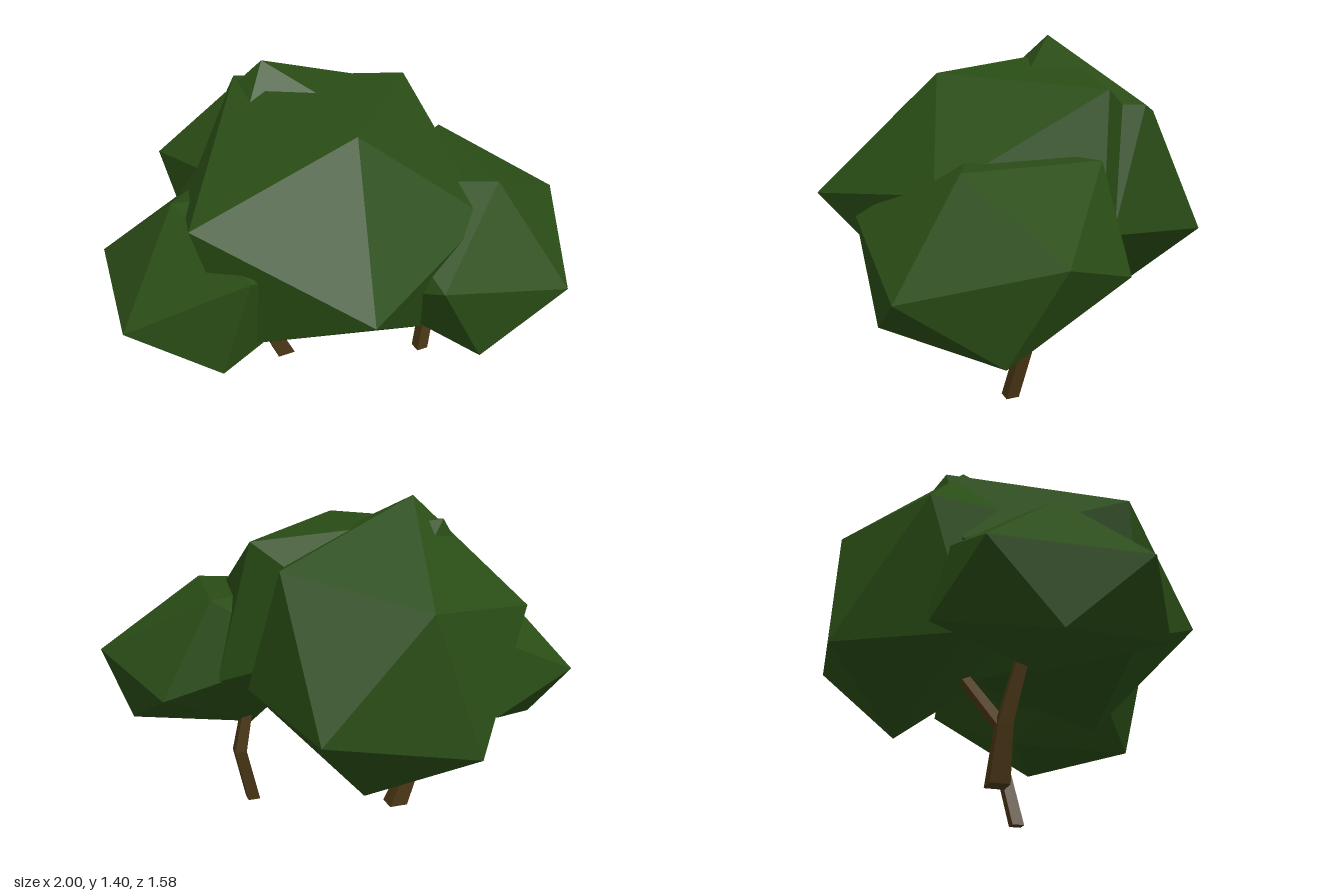
import * as THREE from 'three';
import { ConvexGeometry } from 'three/addons/geometries/ConvexGeometry.js';

const leaf = new THREE.MeshStandardMaterial({ color: 0x294c15, flatShading: true });
const bark = new THREE.MeshStandardMaterial({ color: 0x4a3615, flatShading: true });

// Faceted leaf clump: the hull of twelve corners of a squashed icosahedron
function clump(name, corners) {
  const mesh = new THREE.Mesh(new ConvexGeometry(corners.map((p) => new THREE.Vector3(...p))), leaf);
  mesh.name = name;
  return mesh;
}

// Adds the opposite corners through the centre
const mirrored = (c, half) => [...half, ...half.map((p) => p.map((v, i) => 2 * c[i] - v))];

// Square angular limb: horizontal rings [x, y, z, half width] listed from the top down
function limb(name, rings) {
  const rows = rings.length - 1;
  const geo = new THREE.CylinderGeometry(Math.SQRT2, Math.SQRT2, rows, 4, rows, false, Math.PI / 4);
  const pos = geo.attributes.position;
  for (let i = 0; i < pos.count; i++) {
    const [x, y, z, r] = rings[Math.round(rows / 2 - pos.getY(i))];
    pos.setXYZ(i, x + pos.getX(i) * r, y, z + pos.getZ(i) * r);
  }
  geo.computeVertexNormals();
  const mesh = new THREE.Mesh(geo, bark);
  mesh.name = name;
  return mesh;
}

export function createModel() {
  const tree = new THREE.Group();
  tree.name = 'tree';

  // Foliage
  tree.add(
    clump('frontFoliage', [
      [-0.22, 0.78, 0.785], [-0.05, 1.28, 0.3], [-0.72, 1.03, 0.27], [0.45, 1.25, -0.23],
      [-0.29, 1.32, -0.365], [0.44, 0.9, 0.48], [0.08, 0.95, -0.66], [-0.1, 0.46, -0.2],
      [0.58, 0.68, -0.15], [-0.59, 0.51, 0.34], [0.2, 0.42, 0.47], [-0.57, 0.84, -0.35],
    ]),
    clump('backFoliage', mirrored([-0.065, 0.825, -0.37], [
      [-0.2, 1.405, -0.27], [0.39, 1.17, -0.43], [0.48, 0.67, -0.25],
      [-0.08, 1.05, -0.76], [0.34, 0.6, -0.755], [-0.28, 0.48, -0.79],
    ])),
    clump('leftFoliage', mirrored([0.46, 0.69, 0.275], [
      [0.54, 1.0, 0.41], [0.59, 1.01, -0.13], [1.0, 0.76, 0.2],
      [0.71, 0.61, 0.72], [0.87, 0.38, 0.37], [0.12, 0.76, 0.7],
    ])),
    clump('rightFoliage', [
      [-1, 0.62, 0.22], [-0.68, 0.46, 0.42], [-0.9, 0.35, -0.08], [-0.93, 0.64, -0.36],
      [-0.7, 0.99, -0.02], [-0.56, 0.87, 0.46], [-0.06, 0.72, -0.22], [-0.13, 0.7, 0.36],
      [-0.16, 0.99, 0.08], [-0.39, 0.41, 0], [-0.38, 0.88, -0.42], [-0.52, 0.5, -0.46],
    ]),
  );

  // Trunks and forked branches
  tree.add(
    limb('forkedTrunk', [[-0.42, 0.5, -0.06, 0.022], [-0.305, 0.21, -0.113, 0.03], [-0.217, 0, -0.112, 0.041]]),
    limb('forkBranch', [[-0.08, 0.52, -0.25, 0.022], [-0.298, 0.2, -0.113, 0.027]]),
    limb('bentTrunk', [[0.39, 0.52, 0.125, 0.02], [0.445, 0.26, 0.11, 0.026], [0.382, 0, 0.153, 0.027]]),
  );
  return tree;
}
